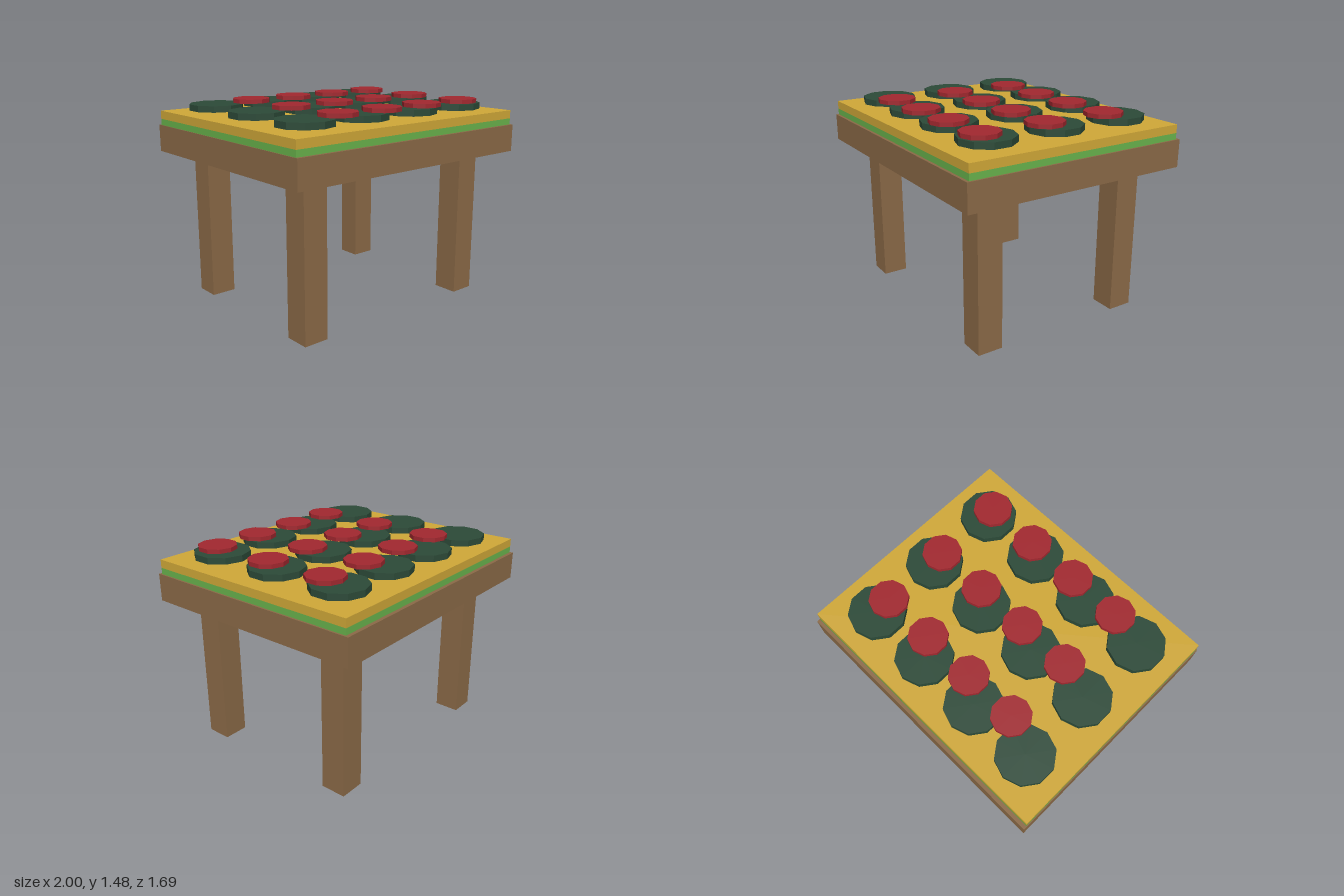
import * as THREE from 'three';

const material = (color) => new THREE.MeshStandardMaterial({ color, flatShading: true });

export function createModel() {
  const group = new THREE.Group();
  const wood = material(0x8b6a47);
  const green = material(0x69b34c);
  const yellow = material(0xd0a838);
  const darkGreen = material(0x2c4a38);
  const red = material(0xa2282f);

  const add = (name, geometry, mat, x, y, z) => {
    const mesh = new THREE.Mesh(geometry, mat);
    mesh.name = name;
    mesh.position.set(x, y, z);
    group.add(mesh);
  };

  // Table top and the two layers lying on it
  add('tableTop', new THREE.BoxGeometry(2, 0.198, 1.69), wood, 0, 1.186, 0);
  add('lowerLayer', new THREE.BoxGeometry(1.982, 0.045, 1.646), green, -0.003, 1.3075, 0.003);
  add('upperLayer', new THREE.BoxGeometry(1.982, 0.06, 1.646), yellow, -0.003, 1.36, 0.003);

  // Four square legs
  const leg = new THREE.BoxGeometry(0.184, 1.09, 0.184);
  for (const x of [-0.728, 0.72])
    for (const z of [-0.568, 0.573]) add('leg', leg, wood, x, 0.545, z);

  // Grid of ten-sided plates
  const plate = new THREE.CylinderGeometry(0.198, 0.198, 0.045, 10);
  for (const x of [-0.695, -0.234, 0.228, 0.69])
    for (const z of [-0.527, -0.002, 0.521]) add('plate', plate, darkGreen, x, 1.426, z);

  // Smaller discs above the plates, on a tighter grid
  const disc = new THREE.CylinderGeometry(0.137, 0.137, 0.03, 10);
  for (const x of [-0.464, -0.08, 0.305, 0.69])
    for (const z of [-0.417, 0.075, 0.567]) add('disc', disc, red, x, 1.465, z);

  return group;
}
